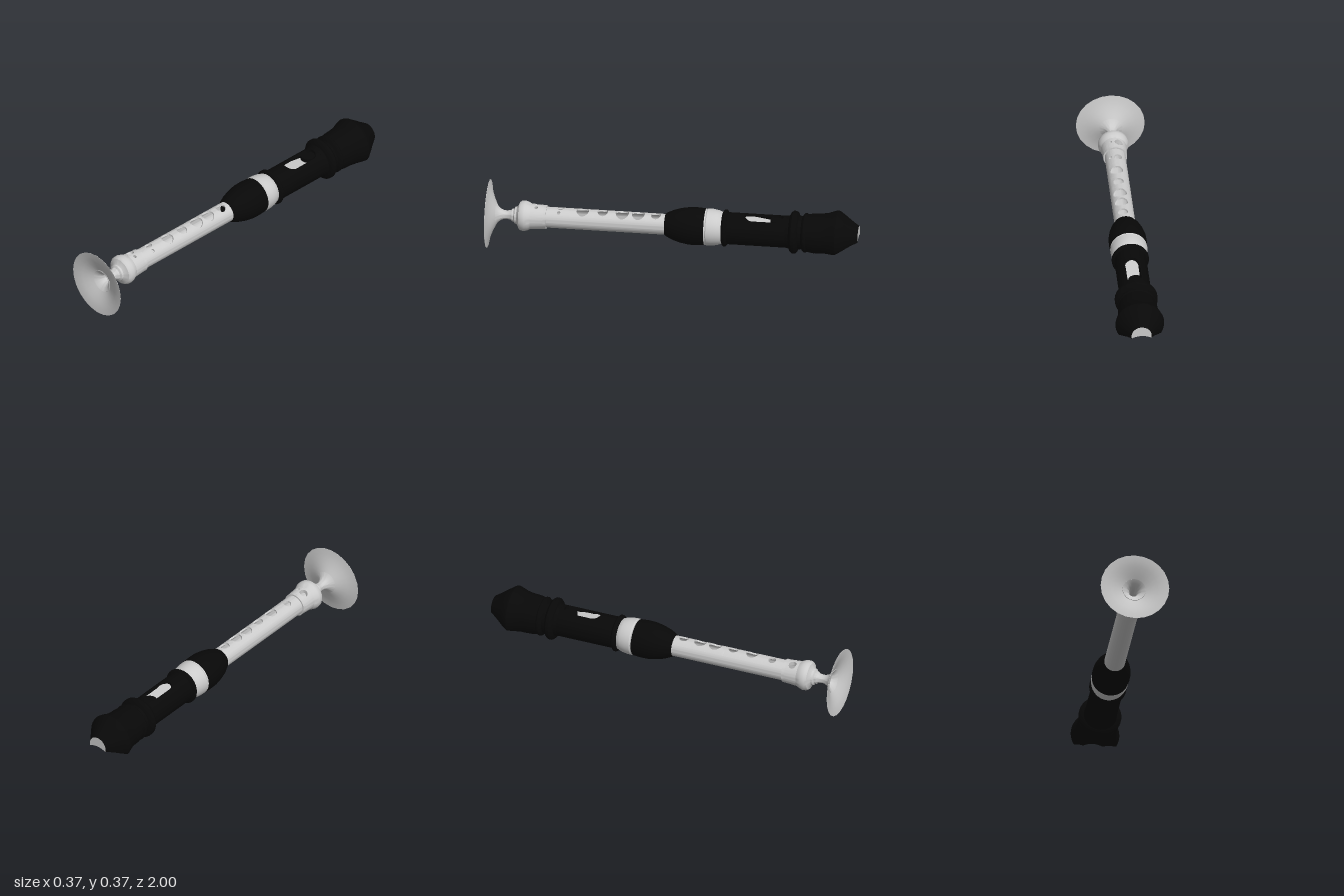
import * as THREE from 'three';
import { toCreasedNormals } from 'three/addons/utils/BufferGeometryUtils.js';

const AXIS_Y = 0.186;

export function createModel() {
  const model = new THREE.Group();
  model.name = 'recorderWithFunnel';
  const body = new THREE.Group();
  body.name = 'instrument';
  body.position.y = AXIS_Y;
  model.add(body);

  const grey = new THREE.MeshStandardMaterial({ color: 0xcccccc, side: THREE.DoubleSide });
  const black = new THREE.MeshStandardMaterial({ color: 0x080808, side: THREE.DoubleSide });

  const add = (name, geo, mat, crease = 0.6) => {
    const mesh = new THREE.Mesh(crease ? toCreasedNormals(geo, crease) : geo, mat);
    mesh.name = name;
    body.add(mesh);
    return mesh;
  };

  // Turned part along z from [z, radius] pairs; gap leaves an opening of +-gap radians on top
  const turned = (name, profile, mat, gap = 0, sides = 48) => {
    const pts = profile.map(([z, r]) => new THREE.Vector2(r, z));
    const geo = new THREE.LatheGeometry(pts, sides, Math.PI + gap, Math.PI * 2 - gap * 2);
    return add(name, geo.rotateX(Math.PI / 2), mat);
  };

  // Surface skinned over closed loops of [x, y, z] points
  const skin = (loops) => {
    const n = loops[0].length;
    const index = [];
    for (let j = 0; j < loops.length - 1; j++) {
      for (let i = 0; i < n; i++) {
        const a = j * n + i, b = j * n + (i + 1) % n;
        index.push(a, b, a + n, b, b + n, a + n);
      }
    }
    const geo = new THREE.BufferGeometry();
    geo.setAttribute('position', new THREE.Float32BufferAttribute(loops.flat(2), 3));
    geo.setIndex(index);
    return geo;
  };

  // Curved wall patch with a round (a = b) or slot-shaped hole cut through it
  const holedPatch = (name, mat, R0, outer, inner, x0, x1, z0, z1, hole) => {
    const { x: cx, z: cz, a, b = a } = hole;
    const bend = (x, z, R) => {
      const t = Math.asin(x / R0);
      return [R * Math.sin(t), R * Math.cos(t), z];
    };
    const corners = [[x0, z0], [x0, z1], [x1, z1], [x1, z0]];
    const edge = [], rim = [];
    corners.forEach((p, k) => {
      const q = corners[(k + 1) % 4];
      for (let s = 0; s < 10; s++) {
        const x = p[0] + (q[0] - p[0]) * s / 10, z = p[1] + (q[1] - p[1]) * s / 10;
        const dir = Math.atan2((z - cz) / b, (x - cx) / a);
        edge.push([x, z]);
        rim.push([cx + a * Math.cos(dir), cz + a * Math.sin(dir) + Math.sign(Math.sin(dir)) * (b - a)]);
      }
    });
    const ring = (f, radius) => edge.map(([x, z], i) => {
      const px = x + (rim[i][0] - x) * f, pz = z + (rim[i][1] - z) * f;
      return bend(px, pz, radius(pz));
    });
    const steps = [0, 0.33, 0.67, 1];
    add(name, skin([
      ...steps.map(f => ring(f, outer)),
      ...steps.slice().reverse().map(f => ring(f, () => inner)),
    ]), mat, 0.5);
  };

  // Finger-hole tube
  const TUBE = 0.056, BORE = 0.047, W = 0.045;
  const tubeGap = Math.asin(W / TUBE);
  turned('tubeOuter', [[0.04, TUBE], [0.69, TUBE]], grey, tubeGap);
  turned('tubeBore', [[0.04, BORE], [0.69, BORE]], grey, tubeGap);
  const fingerHoles = [[0.095, 0.027], [0.19, 0.035], [0.276, 0.038], [0.382, 0.028], [0.49, 0.034]];
  const bounds = [0.04, 0.14, 0.231, 0.335, 0.43, 0.56];
  fingerHoles.forEach(([z, a], i) =>
    holedPatch('fingerHole', grey, TUBE, () => TUBE, BORE, -W, W, bounds[i], bounds[i + 1], { x: 0.008, z, a: Math.min(a, W - 0.009) }));
  const doubleHole = (R0, outer, z0, z1, z, x) => {
    holedPatch('doubleHoleLarge', grey, R0, outer, BORE, -W, x + 0.026, z0, z1, { x, z, a: 0.021 });
    holedPatch('doubleHoleSmall', grey, R0, outer, BORE, x + 0.026, W, z0, z1, { x: x + 0.042, z: z + 0.005, a: 0.009 });
  };
  doubleHole(TUBE, () => TUBE, 0.56, 0.69, 0.612, -0.01);

  // Foot joint with its own pair of holes
  const FOOT = 0.064;
  const footGap = Math.asin(W / FOOT);
  const footR = z => FOOT + (z - 0.7) * 0.07;
  turned('footCollar', [[0.685, BORE], [0.685, FOOT], [0.7, FOOT]], grey);
  turned('footWall', [[0.7, FOOT], [0.77, footR(0.77)]], grey, footGap);
  turned('footBore', [[0.69, BORE], [0.77, BORE]], grey, footGap);
  doubleHole(FOOT, footR, 0.7, 0.77, 0.735, -0.022);
  turned('footBulb', [[0.77, footR(0.77)], [0.783, 0.076], [0.8, 0.082], [0.82, 0.081], [0.832, 0.073],
    [0.838, 0.058], [0.846, 0.047], [0.856, 0.045], [0.862, 0.035], [0.872, 0.034]], grey);
  turned('footBulbBore', [[0.77, BORE], [0.82, 0.04], [0.87, 0.022]], grey);

  // Funnel: narrow neck flaring into a thin wide cone
  turned('funnelNeck', [[0.868, 0.034], [0.88, 0.026], [0.9, 0.023], [0.915, 0.024], [0.932, 0.031],
    [0.948, 0.044], [0.96, 0.064], [0.964, 0.062], [0.952, 0.042], [0.935, 0.028], [0.915, 0.021], [0.87, 0.021]], grey);
  turned('funnelFlare', [[0.958, 0.062], [0.972, 0.09], [0.985, 0.125], [0.994, 0.155], [0.999, 0.185],
    [1, 0.185], [0.996, 0.155], [0.987, 0.125], [0.974, 0.09], [0.961, 0.062]], grey, 0, 24);

  // Middle joint: dark barrel and pale band
  turned('barrel', [[0.045, BORE], [0.045, 0.058], [0.035, 0.065], [0.0, 0.081], [-0.04, 0.093], [-0.085, 0.101],
    [-0.13, 0.102], [-0.172, 0.099]], black);
  turned('paleBand', [[-0.172, 0.099], [-0.178, 0.096], [-0.184, 0.1], [-0.21, 0.099], [-0.24, 0.094],
    [-0.262, 0.086], [-0.268, 0.08]], grey);
  turned('middleBore', [[0.045, BORE], [-0.37, BORE], [-0.37, 0.07]], black);

  // Head tube, with a ring at its lower end
  const HEAD = 0.086, INNER = 0.07, HW = 0.06;
  const headGap = Math.asin(HW / HEAD);
  turned('headRing', [[-0.262, 0.08], [-0.268, 0.094], [-0.276, 0.1], [-0.284, 0.1], [-0.29, 0.094], [-0.294, HEAD]], black);
  turned('headLower', [[-0.29, HEAD], [-0.365, HEAD]], black);
  turned('headOuter', [[-0.365, HEAD], [-0.61, HEAD]], black, headGap);
  turned('headInner', [[-0.365, INNER], [-0.61, INNER]], black, headGap);
  holedPatch('windowSurround', black, HEAD, () => HEAD, INNER, -HW, HW, -0.61, -0.365, { x: 0.005, z: -0.49, a: 0.042, b: 0.104 });

  // Sloping ramp and block end inside the window
  const ramp = add('windowRamp', new THREE.BoxGeometry(0.088, 0.006, 0.215), grey, 0);
  ramp.position.set(0.005, 0.048, -0.487);
  ramp.rotation.x = -0.16;
  const plug = add('windowBlock', new THREE.CylinderGeometry(0.04, 0.04, 0.06, 32), black);
  plug.position.set(-0.006, 0.036, -0.562);

  // Rings between head tube and beak
  turned('beakRings', [[-0.61, 0], [-0.61, HEAD], [-0.628, 0.09], [-0.634, 0.106], [-0.645, 0.115], [-0.66, 0.115],
    [-0.671, 0.106], [-0.677, 0.091], [-0.695, 0.089], [-0.702, 0.1], [-0.709, 0.106], [-0.717, 0.106],
    [-0.724, 0.1], [-0.724, 0]], black);

  // Beak: round sections [z, radius, underside height] with a scooped underside
  const sections = [[-0.722, 0.101, -0.101], [-0.76, 0.107, -0.096], [-0.8, 0.109, -0.088], [-0.835, 0.115, -0.081],
    [-0.865, 0.126, -0.074], [-0.884, 0.131, -0.068], [-0.895, 0.128, -0.063], [-0.925, 0.107, -0.047],
    [-0.96, 0.081, -0.031], [-1, 0.054, -0.015]];
  const loops = sections.map(([z, r, cut], j) => Array.from({ length: 72 }, (_, i) => {
    const t = i / 72 * Math.PI * 2, x = r * Math.sin(t);
    const scoop = 0.014 * Math.min(1, j / 5) * (1 - (x / r) ** 2);
    return [x, Math.max(r * Math.cos(t), cut + scoop), z];
  }));
  add('beak', skin(loops), black, 0.5);

  // Pale end face of the beak
  const tip = new THREE.Shape(loops[loops.length - 1].map(([x, y]) => new THREE.Vector2(x, y)));
  add('beakTip', new THREE.ShapeGeometry(tip).translate(0, 0, -1), grey, 0);

  return model;
}
